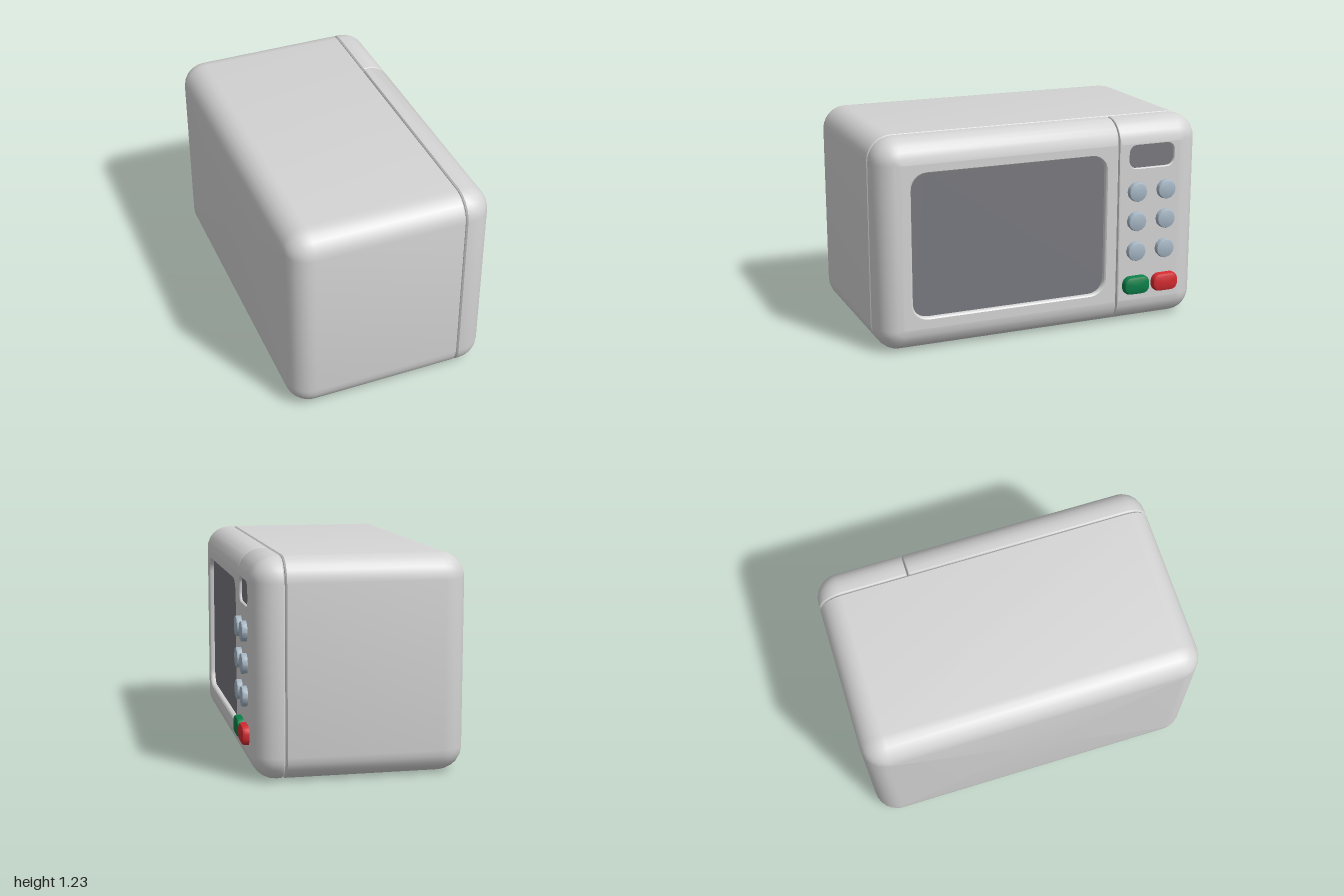
import * as THREE from 'three';
import { toCreasedNormals } from 'three/addons/utils/BufferGeometryUtils.js';

const mat = (name, color) => new THREE.MeshStandardMaterial({ name, color });

// Rounded rectangle, counter-clockwise; rl and rr are the left and right corner radii.
function outline(l, r, b, t, rl, rr = rl, seg = 6) {
  const pts = [];
  const corners = [[r - rr, b + rr, rr, -1], [r - rr, t - rr, rr, 0], [l + rl, t - rl, rl, 1], [l + rl, b + rl, rl, 2]];
  for (const [x, y, rad, q] of corners) {
    for (let i = 0; i <= seg; i++) {
      const a = (q + i / seg) * Math.PI / 2;
      pts.push(new THREE.Vector2(x + rad * Math.cos(a), y + rad * Math.sin(a)));
    }
  }
  return pts;
}

// Skin a list of [points, depth] rings.
function loft(rings, crease = 0.6) {
  const pos = [];
  for (let i = 0; i < rings.length - 1; i++) {
    const [p, z] = rings[i], [q, w] = rings[i + 1];
    for (let j = 0; j < p.length; j++) {
      const k = (j + 1) % p.length;
      const a = [p[j].x, p[j].y, z], b = [p[k].x, p[k].y, z];
      const c = [q[k].x, q[k].y, w], d = [q[j].x, q[j].y, w];
      pos.push(...a, ...b, ...c, ...a, ...c, ...d);
    }
  }
  const g = new THREE.BufferGeometry();
  g.setAttribute('position', new THREE.Float32BufferAttribute(pos, 3));
  return toCreasedNormals(g, crease);
}

// A ring collapsed to its middle, which closes a loft.
function closed([pts, z]) {
  const c = new THREE.Box2().setFromPoints(pts).getCenter(new THREE.Vector2());
  return [pts.map(() => c), z];
}

function flat(pts, z, hole) {
  const s = new THREE.Shape(pts);
  if (hole) s.holes.push(new THREE.Path(hole));
  return new THREE.ShapeGeometry(s).translate(0, 0, z);
}

const H = 1.23, R = 0.14, FRONT = 0.58, SPLIT = 0.405, BEVEL = 0.008;

export function createModel() {
  const casing = mat('casing grey', 0xd4d4d4);
  const glass = mat('dark glass', 0x78797f);
  const blue = mat('button blue grey', 0xa6b7c5);
  const green = mat('start green', 0x0c8049);
  const red = mat('stop red', 0xd42b30);

  // Built facing +z, then turned so the door faces +x.
  const oven = new THREE.Group();
  oven.name = 'microwaveOven';
  oven.rotation.y = Math.PI / 2;
  const add = (name, geometry, material) => {
    const m = new THREE.Mesh(geometry, material);
    m.name = name;
    oven.add(m);
  };

  // Main body, rounded at the back
  const bodyRing = (inset, z) => [outline(-1 + inset, 1 - inset, inset, H - inset, Math.max(R - inset, 0.004)), z];
  const body = [];
  for (let i = 0; i <= 6; i++) {
    const a = i / 6 * Math.PI / 2;
    body.push(bodyRing(R * (1 - Math.sin(a)), -0.62 + R * (1 - Math.cos(a))));
  }
  body.push(bodyRing(0, SPLIT - 0.004 - BEVEL), bodyRing(BEVEL, SPLIT - 0.004));
  add('body', loft([closed(body[0]), ...body, closed(body[body.length - 1])]), casing);

  // Front section: soft outer edges, a tight edge along the seam, and a sunken pane
  function frontSection(name, l, r, seamOnRight, pane, paneRadius, depth, paneName) {
    const ring = (o, s, z) => {
      const ro = Math.max(R - o, 0.004), rs = 0.006;
      return [seamOnRight
        ? outline(l + o, r - s, o, H - o, ro, rs)
        : outline(l + s, r - o, o, H - o, rs, ro), z];
    };
    const rings = [ring(BEVEL, BEVEL, SPLIT), ring(0, 0, SPLIT + BEVEL)];
    for (let i = 0; i <= 6; i++) {
      const a = i / 6 * Math.PI / 2;
      const k = Math.max(0, (i - 4) / 2);
      rings.push(ring(R * (1 - Math.cos(a)), BEVEL * k * k, FRONT - R + R * Math.sin(a)));
    }
    add(name, loft([closed(rings[0]), ...rings]), casing);

    const paneRing = (grow, z) => [outline(pane[0] - grow, pane[1] + grow, pane[2] - grow, pane[3] + grow, paneRadius + grow), z];
    const g = depth / 3;
    const rim = [paneRing(g, FRONT), paneRing(g * 0.4, FRONT - g * 0.4), paneRing(0, FRONT - g), paneRing(0, FRONT - depth)];
    add(name + 'Face', flat(rings[rings.length - 1][0], FRONT, rim[0][0]), casing);
    add(paneName + 'Rim', loft(rim, 0.9), casing);
    add(paneName, flat(rim[3][0], FRONT - depth), glass);
  }
  frontSection('door', -1, 0.458, true, [-0.805, 0.38, 0.203, 1.035], 0.09, 0.03, 'window');
  frontSection('controlPanel', 0.466, 1, false, [0.53, 0.82, 0.945, 1.08], 0.045, 0.015, 'display');

  // Raised buttons with softened edges
  function button(name, x, y, w, h, radius, height, edge, seg, material) {
    const ring = (i, z) => [outline(x - w + i, x + w - i, y - h + i, y + h - i, Math.max(radius - i, 0.004), undefined, seg), z];
    const top = FRONT + height;
    const rings = [ring(0, FRONT - 0.01), ring(0, top - edge), ring(edge * 0.3, top - edge * 0.3), ring(edge, top)];
    add(name, loft([...rings, closed(rings[3])]), material);
  }
  for (const y of [0.445, 0.628, 0.807]) {
    for (const x of [0.577, 0.766]) button('keypadButton', x, y, 0.058, 0.058, 0.058, 0.032, 0.007, 3, blue);
  }
  button('startButton', 0.582, 0.235, 0.084, 0.055, 0.045, 0.04, 0.018, 5, green);
  button('stopButton', 0.772, 0.235, 0.083, 0.055, 0.045, 0.04, 0.018, 5, red);

  const model = new THREE.Group();
  model.name = 'microwave';
  model.add(oven);
  return model;
}
